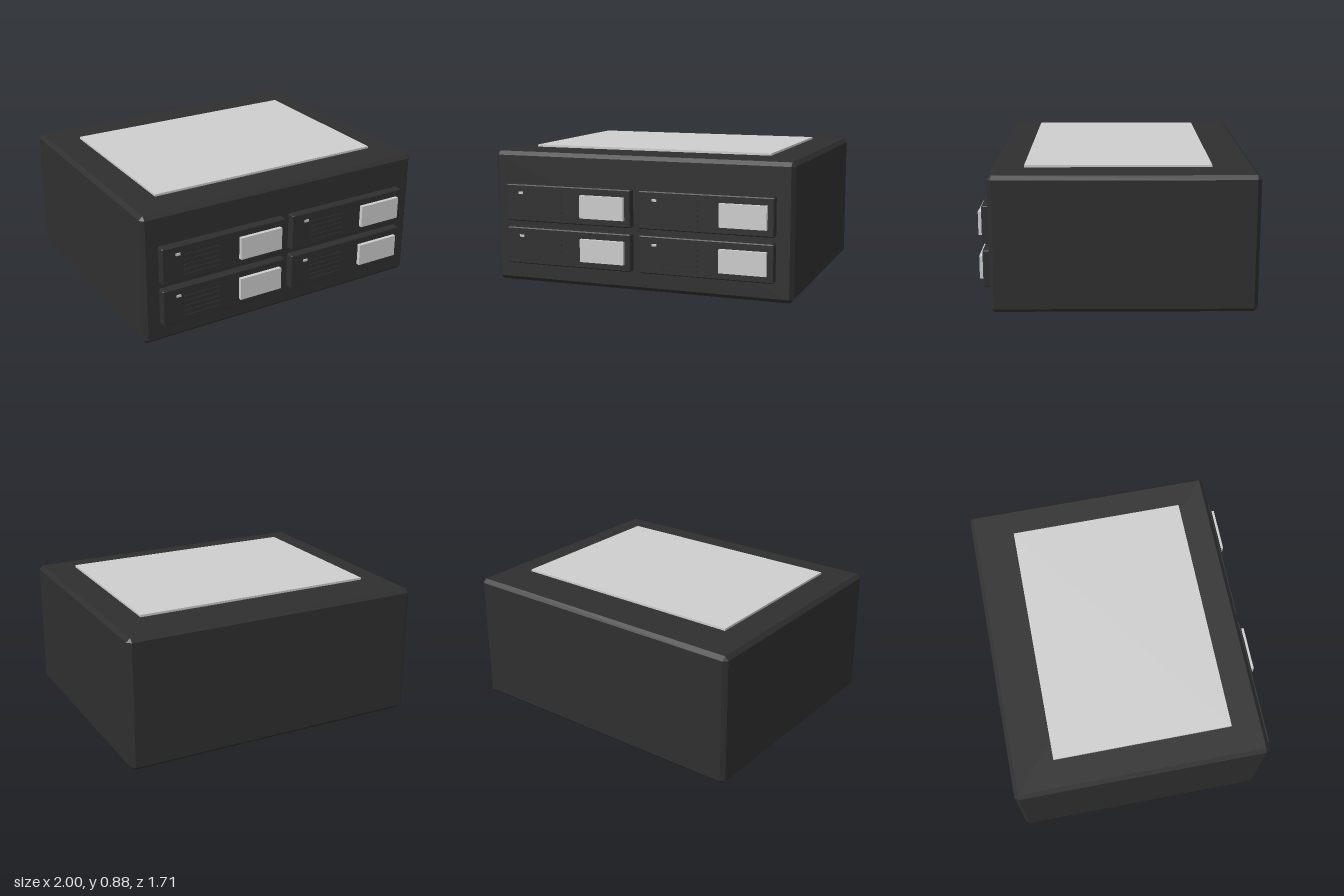
import * as THREE from 'three';
import { ConvexGeometry } from 'three/addons/geometries/ConvexGeometry.js';

const charcoal = new THREE.MeshStandardMaterial({ color: 0x2f2f2f });
charcoal.name = 'charcoal';
const lightGrey = new THREE.MeshStandardMaterial({ color: 0xcecece });
lightGrey.name = 'light grey';

// Box with flat chamfers on all edges, or a plain box when bevel is 0.
function block(name, material, [x0, x1], [y0, y1], [z0, z1], bevel = 0) {
  const w = x1 - x0, h = y1 - y0, d = z1 - z0;
  let geometry;
  if (bevel > 0) {
    const points = [];
    for (const sx of [-1, 1]) for (const sy of [-1, 1]) for (const sz of [-1, 1]) {
      const X = w / 2, Y = h / 2, Z = d / 2, b = bevel;
      points.push(
        new THREE.Vector3(sx * X, sy * (Y - b), sz * (Z - b)),
        new THREE.Vector3(sx * (X - b), sy * Y, sz * (Z - b)),
        new THREE.Vector3(sx * (X - b), sy * (Y - b), sz * Z));
    }
    geometry = new ConvexGeometry(points);
  } else {
    geometry = new THREE.BoxGeometry(w, h, d);
  }
  const mesh = new THREE.Mesh(geometry, material);
  mesh.name = name;
  mesh.position.set((x0 + x1) / 2, (y0 + y1) / 2, (z0 + z1) / 2);
  return mesh;
}

// One drive bay, measured from its lower left corner.
function driveBay(x, y) {
  const bay = new THREE.Group();
  bay.name = 'driveBay';
  bay.add(block('bayFront', charcoal, [0, 0.865], [0, 0.238], [0.77, 0.83], 0.006));
  bay.add(block('handle', lightGrey, [0.528, 0.825], [0.046, 0.192], [0.825, 0.855]));
  bay.add(block('statusLight', lightGrey, [0.09, 0.12], [0.177, 0.192], [0.825, 0.836]));
  // Raised vent ribs
  for (let i = 0; i < 5; i++) {
    const ribY = 0.03 + i * 0.033;
    bay.add(block('ventRib', charcoal, [0.145, 0.39], [ribY, ribY + 0.012], [0.825, 0.835]));
  }
  bay.position.set(x, y, 0);
  return bay;
}

export function createModel() {
  const model = new THREE.Group();
  model.name = 'driveEnclosure';
  model.add(block('housing', charcoal, [-1, 1], [0, 0.853], [-0.855, 0.78], 0.025));
  // Thin panel hovering just above the lid
  model.add(block('topPanel', lightGrey, [-0.8, 0.8], [0.866, 0.88], [-0.575, 0.57]));
  for (const x of [-0.894, 0.025]) for (const y of [0.128, 0.408]) model.add(driveBay(x, y));
  return model;
}
